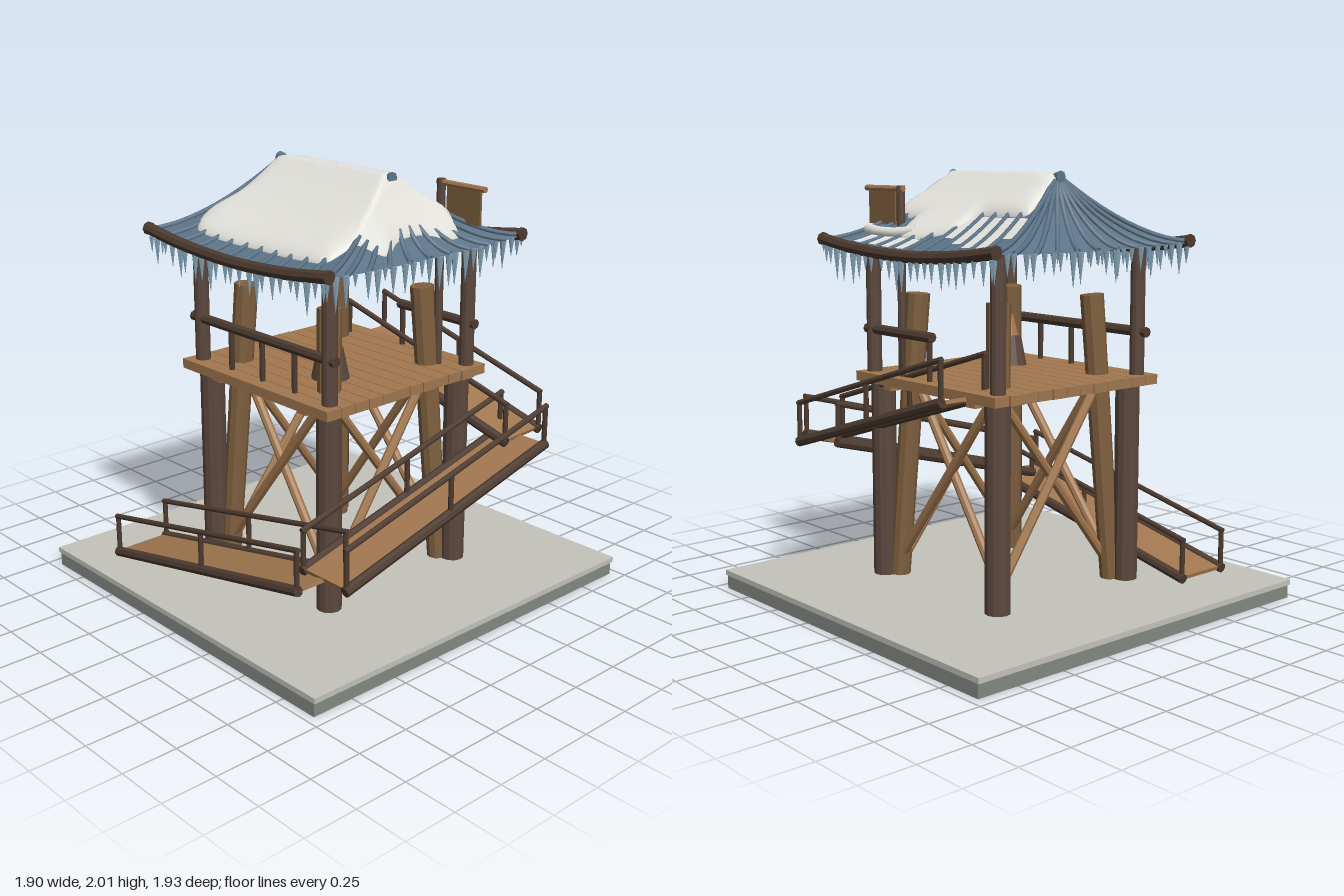
import * as THREE from 'three';

const mat = (name, color, side = THREE.FrontSide, flatShading = false) => {
  const m = new THREE.MeshStandardMaterial({ color, side, flatShading });
  m.name = name;
  return m;
};

export function createModel() {
  const model = new THREE.Group();
  model.name = 'watchtower';
  const M = {
    stone: mat('pale stone', 0xc4c4bc),
    darkStone: mat('grey stone', 0x858a84),
    dark: mat('dark wood', 0x5c483e, THREE.FrontSide, true),
    rail: mat('rail wood', 0x4d3b30, THREE.FrontSide, true),
    leg: mat('leg wood', 0x80603f, THREE.FrontSide, true),
    plank: mat('plank wood', 0xa27850, THREE.FrontSide, true),
    roof: mat('blue tile', 0x5c7488, THREE.DoubleSide),
    ice: mat('ice', 0x86a5b8, THREE.FrontSide, true),
    snow: mat('snow', 0xe4e3dd, THREE.DoubleSide),
  };
  const V = (x, y, z) => new THREE.Vector3(x, y, z);
  const lerp = THREE.MathUtils.lerp;
  let seed = 7;
  const rand = () => (seed = (seed * 16807) % 2147483647) / 2147483647;

  const add = (name, geo, m, parent = model) => {
    const mesh = new THREE.Mesh(geo, m);
    mesh.name = name;
    parent.add(mesh);
    return mesh;
  };
  const box = (name, w, h, d, x, y, z, m, parent) => {
    const b = add(name, new THREE.BoxGeometry(w, h, d), m, parent);
    b.position.set(x, y, z);
    return b;
  };
  // Round bar from a to b
  const bar = (name, a, b, r, m, parent = model, r2 = r, sides = 8) => {
    const c = add(name, new THREE.CylinderGeometry(r2, r, a.distanceTo(b), sides), m, parent);
    c.position.copy(a).lerp(b, 0.5);
    c.quaternion.setFromUnitVectors(V(0, 1, 0), b.clone().sub(a).normalize());
    return c;
  };
  const group = (name) => {
    const g = new THREE.Group();
    g.name = name;
    model.add(g);
    return g;
  };

  // Base slab
  box('baseLower', 1.88, 0.065, 1.92, 0, 0.0325, 0, M.darkStone);
  box('baseTop', 1.9, 0.025, 1.93, 0, 0.0775, 0, M.stone);

  // Posts and leaning inner legs
  for (const sx of [-1, 1]) for (const sz of [-1, 1]) {
    bar('lowerPost', V(sx * 0.41, 0.09, sz * 0.4), V(sx * 0.41, 1.04, sz * 0.4), 0.058, M.dark, model, 0.058, 12);
    bar('upperPost', V(sx * 0.443, 1.04, sz * 0.425), V(sx * 0.443, 1.69, sz * 0.425), 0.035, M.dark, model, 0.035, 12);
    bar('innerLeg', V(sx * 0.355, 0.09, sz * 0.355), V(sx * 0.285, 1.44, sz * 0.285), 0.048, M.leg, model, 0.056, 10);
  }

  // Cross braces on all four sides
  for (let i = 0; i < 4; i++) {
    const side = group('crossBrace');
    for (const s of [-1, 1]) {
      bar('brace', V(-s * 0.325, 0.2, 0.345 + s * 0.012), V(s * 0.285, 1.02, 0.305 + s * 0.012), 0.022, M.plank, side);
    }
    side.rotation.y = i * Math.PI / 2;
  }

  // Platform of planks
  const deck = group('platform');
  for (let i = 0; i < 12; i++) {
    box('deckPlank', 1.0 + rand() * 0.02, 0.045, 0.079, 0, 1.048, -0.453 + i * 0.0828, M.plank, deck);
  }
  box('deckBeam', 0.06, 0.03, 0.92, -0.3, 1.012, 0, M.plank, deck);
  box('deckBeam', 0.06, 0.03, 0.92, 0.3, 1.012, 0, M.plank, deck);

  // Platform railings
  const railing = group('railing');
  bar('frontRail', V(-0.5, 1.27, 0.43), V(0.49, 1.27, 0.43), 0.024, M.rail, railing);
  bar('backRail', V(0, 1.27, -0.43), V(0.49, 1.27, -0.43), 0.024, M.rail, railing);
  for (const x of [-0.22, 0, 0.22]) bar('baluster', V(x, 1.06, 0.43), V(x, 1.27, 0.43), 0.013, M.rail, railing);
  for (const x of [0.02, 0.22]) bar('baluster', V(x, 1.06, -0.43), V(x, 1.27, -0.43), 0.013, M.rail, railing);

  // Bucket with a wooden plug
  bar('bucket', V(0.165, 1.07, 0.17), V(0.175, 1.21, 0.18), 0.088, M.dark, model, 0.06, 14);
  bar('bucketPlug', V(0.19, 1.21, 0.2), V(0.195, 1.31, 0.2), 0.042, M.plank, model, 0.02, 10);

  // Ramps: two side beams, a floor, and handrails; a and b lie on one edge, w leads to the other
  const ramp = (name, a, b, w) => {
    const g = group(name);
    for (const k of [0, 1]) {
      const p = a.clone().addScaledVector(w, k), q = b.clone().addScaledVector(w, k);
      const up = V(0, 0.185, 0);
      bar('rampBeam', p, q, 0.024, M.rail, g);
      bar('handrail', p.clone().add(up), q.clone().add(up), 0.013, M.rail, g);
      for (const t of [0.008, 0.5, 0.992]) {
        const f = p.clone().lerp(q, t);
        bar('railPost', f, f.clone().add(up), 0.012, M.rail, g);
      }
    }
    const dir = b.clone().sub(a), len = dir.length();
    const ex = dir.normalize(), ey = w.clone().cross(ex).normalize();
    if (ey.y < 0) ey.negate();
    const floor = add('rampFloor', new THREE.BoxGeometry(len - 0.02, 0.018, w.length()), M.plank, g);
    floor.quaternion.setFromRotationMatrix(new THREE.Matrix4().makeBasis(ex, ey, ex.clone().cross(ey)));
    floor.position.copy(a).lerp(b, 0.5).addScaledVector(w, 0.5);
  };
  ramp('frontRamp', V(-0.67, 0.115, 0.8), V(0.665, 0.4, 0.8), V(0, 0, -0.275));
  ramp('sideRamp', V(0.8, 0.4, 0.665), V(0.8, 0.735, -0.59), V(-0.27, 0, 0));
  ramp('backRamp', V(0.66, 0.735, -0.715), V(-0.33, 1.045, -0.64), V(0.015, 0, 0.255));

  // Roof surface rule: t runs ridge to eave, s runs along the side (-1..1); sides 0 front, 1 back, 2 right end, 3 left end
  const TOP = 0.28, EAVE = 1.68;
  const roofY = (end, s, t) => EAVE + TOP * (1 - t) ** 1.7 - (end ? 0.012 : 0.04) * (1 - s * s) * t * t;
  const roofPoint = (side, s, t, off = 0) => {
    const end = side > 1, sign = side % 2 ? -1 : 1;
    const x = lerp(0.36, 0.61, t), z = lerp(0.03, 0.6, t), y = roofY(end, s, t) + off;
    return end ? V(sign * x, y, s * z) : V(s * x, y, sign * z);
  };
  const grid = (nu, nv, f) => {
    const pos = [], idx = [];
    for (let j = 0; j <= nv; j++) for (let i = 0; i <= nu; i++) pos.push(...f(i / nu, j / nv).toArray());
    for (let j = 0; j < nv; j++) for (let i = 0; i < nu; i++) {
      const a = j * (nu + 1) + i, c = a + nu + 1;
      idx.push(a, a + 1, c, a + 1, c + 1, c);
    }
    const g = new THREE.BufferGeometry();
    g.setAttribute('position', new THREE.Float32BufferAttribute(pos, 3));
    g.setIndex(idx);
    g.computeVertexNormals();
    return g;
  };

  const roof = group('roof');
  for (let side = 0; side < 4; side++) {
    add('roofPanel', grid(16, 12, (u, v) => roofPoint(side, u * 2 - 1, v)), M.roof, roof);
    // Raised ribs from ridge to eave
    const n = side > 1 ? 10 : 11;
    for (let i = side > 1 ? 1 : 0; i <= (side > 1 ? n - 1 : n); i++) {
      const pts = [];
      for (let k = 0; k <= 6; k++) pts.push(roofPoint(side, -1 + 2 * i / n, k / 6, 0.004));
      add('roofRib', new THREE.TubeGeometry(new THREE.CatmullRomCurve3(pts), 10, 0.012, 6), M.roof, roof);
    }
    // Icicles along the eave
    for (let i = 0; i <= 22; i++) {
      const p = roofPoint(side, -0.98 + 1.96 * (i + rand() * 0.5 - 0.25) / 22, 0.985, side > 1 ? 0 : -0.02);
      const len = 0.05 + 0.1 * rand();
      bar('icicle', p, p.clone().add(V(0, -len, 0)), 0.008 + len * 0.06, M.ice, roof, 0.001, 6);
    }
  }
  box('ridgeCap', 0.74, 0.03, 0.05, 0, 1.955, 0, M.roof, roof);
  for (const s of [-1, 1]) bar('ridgeEnd', V(s * 0.3, 1.975, 0), V(s * 0.375, 1.98, 0), 0.012, M.roof, roof, 0.028);

  // Curved eave beams, front and back
  for (const s of [-1, 1]) {
    const pts = [-1, -0.6, 0, 0.6, 1].map((k) => V(k * 0.612, 1.64 + 0.048 * k * k, s * 0.585));
    add('eaveBeam', new THREE.TubeGeometry(new THREE.CatmullRomCurve3(pts), 20, 0.028, 8), M.rail, roof);
    for (const k of [0, 4]) {
      const e = pts[k];
      bar('eaveBeamEnd', e.clone().add(V(-0.008, 0, 0)), e.clone().add(V(0.008, 0, 0)), 0.031, M.rail, roof);
    }
  }

  // Snow cap: outline in plan (x, z), draped over the roof and rounded at the rim
  const rim = [[0.5, 0], [0.51, 0.1], [0.55, 0.2], [0.5, 0.3], [0.48, 0.4], [0.46, 0.46], [0.3, 0.475], [0, 0.47],
    [-0.25, 0.475], [-0.42, 0.455], [-0.48, 0.36], [-0.42, 0.22], [-0.385, 0.05], [-0.39, -0.12], [-0.4, -0.22],
    [-0.25, -0.235], [-0.1, -0.25], [-0.04, -0.35], [0.06, -0.4], [0.2, -0.43], [0.27, -0.4], [0.31, -0.29],
    [0.42, -0.275], [0.53, -0.26], [0.54, -0.2], [0.51, -0.1]].map(([x, z]) => V(x, 0, z));
  const outline = new THREE.CatmullRomCurve3(rim, true);
  const surfaceY = (x, z) => {
    const tx = (Math.abs(x) - 0.36) / 0.25, tz = (Math.abs(z) - 0.03) / 0.57;
    const t = THREE.MathUtils.clamp(Math.max(tx, tz), 0, 1), end = tx > tz;
    const s = end ? z / lerp(0.03, 0.6, t) : x / lerp(0.36, 0.61, t);
    return roofY(end, THREE.MathUtils.clamp(s, -1, 1), t);
  };
  add('snowCap', grid(120, 28, (u, v) => {
    const k = Math.sin((1 - v) * Math.PI / 2);
    const p = outline.getPoint(u % 1).multiplyScalar(k);
    p.y = surfaceY(p.x, p.z) - 0.006 + 0.046 * Math.sqrt(Math.max(0, 1 - k ** 10));
    return p;
  }), M.snow, roof);
  // Curled lip of snow on the back slope
  const lip = [[0.18, -0.38], [0.28, -0.41], [0.4, -0.42], [0.49, -0.41]].map(([x, z]) => V(x, surfaceY(x, z) + 0.012, z));
  add('snowLip', new THREE.TubeGeometry(new THREE.CatmullRomCurve3(lip), 14, 0.026, 10), M.snow, roof);
  const tip = add('snowLipTip', new THREE.SphereGeometry(0.026, 12, 8), M.snow, roof);
  tip.position.copy(lip[3]);

  // Thin snow left between the ribs of the back slope
  const patch = (i, t0, t1) => add('snowPatch', grid(2, 6, (u, v) =>
    roofPoint(1, -1 + 2 * (i + 0.12 + u * 0.76) / 11, lerp(t0, t1, v), 0.006)), M.snow, roof);
  for (let i = 0; i < 5; i++) patch(i, 0.38, [0.62, 0.8, 0.79, 0.7, 0.62][i] + rand() * 0.04);
  for (let i = 6; i < 10; i++) patch(i, 0.7, 0.84 + rand() * 0.03);

  // Pole with a hanging board
  const sign = group('hangingSign');
  bar('signPole', V(0.345, 1.05, -0.335), V(0.345, 1.935, -0.335), 0.02, M.dark, sign);
  bar('signArm', V(0.325, 1.92, -0.335), V(0.61, 1.92, -0.335), 0.014, M.plank, sign);
  box('signBoard', 0.2, 0.16, 0.012, 0.485, 1.835, -0.335, M.leg, sign);

  return model;
}
